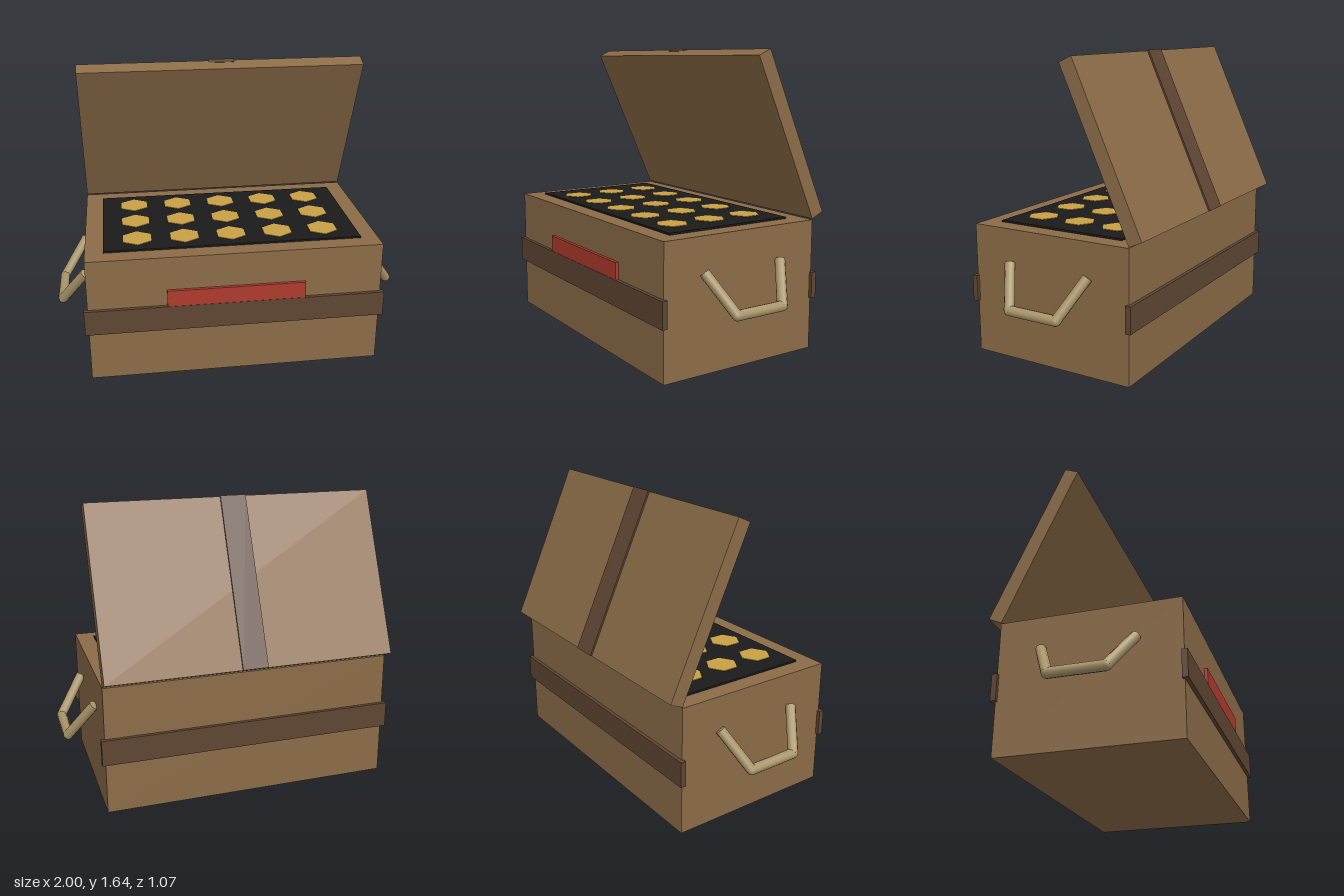
import * as THREE from 'three';

const paint = (color, extra = {}) => new THREE.MeshStandardMaterial({ color, ...extra });
const WOOD = paint(0x8b6b47);
const BAND = paint(0x5f4633);
const RED = paint(0xb03a2e);
const BLACK = paint(0x1a1a1a);
const GOLD = paint(0xc9a045);
const ROPE = paint(0xab966b);

const MID_Z = 0.0325;

// Box given by its minimum and maximum corners
function block(name, material, [x0, y0, z0], [x1, y1, z1]) {
  const mesh = new THREE.Mesh(new THREE.BoxGeometry(x1 - x0, y1 - y0, z1 - z0), material);
  mesh.position.set((x0 + x1) / 2, (y0 + y1) / 2, (z0 + z1) / 2);
  mesh.name = name;
  return mesh;
}

// Round bar between two points
function bar(a, b, radius) {
  const dir = b.clone().sub(a);
  const mesh = new THREE.Mesh(new THREE.CylinderGeometry(radius, radius, dir.length(), 10), ROPE);
  mesh.position.copy(a).add(b).multiplyScalar(0.5);
  mesh.quaternion.setFromUnitVectors(new THREE.Vector3(0, 1, 0), dir.normalize());
  mesh.name = 'handleBar';
  return mesh;
}

// Drooping three-part carrying handle
function handle(side) {
  const group = new THREE.Group();
  group.name = side > 0 ? 'leftHandle' : 'rightHandle';
  const radius = 0.028;
  const points = [
    [0.83, 0.54, 0.247], [0.97, 0.338, 0.147], [0.97, 0.338, -0.147], [0.83, 0.54, -0.247],
  ].map(([x, y, z]) => new THREE.Vector3(side * x, y, z + MID_Z));
  for (let i = 0; i < 3; i++) group.add(bar(points[i], points[i + 1], radius));
  for (const p of [points[1], points[2]]) {
    const joint = new THREE.Mesh(new THREE.SphereGeometry(radius, 10, 8), ROPE);
    joint.position.copy(p);
    joint.name = 'handleJoint';
    group.add(joint);
  }
  return group;
}

export function createModel() {
  const model = new THREE.Group();
  model.name = 'chest';

  // Body, with a band across the front and the back
  model.add(block('body', WOOD, [-0.82, 0, -0.45], [0.82, 0.725, 0.515]));
  model.add(block('frontBand', BAND, [-0.84, 0.29, 0.505], [0.84, 0.435, 0.535]));
  model.add(block('backBand', BAND, [-0.84, 0.29, -0.47], [0.84, 0.435, -0.44]));
  model.add(block('frontLabel', RED, [-0.385, 0.4, 0.505], [0.385, 0.53, 0.533]));

  // Dark tray with three rows of five hexagonal pieces
  model.add(block('tray', BLACK, [-0.72, 0.7, -0.35], [0.72, 0.735, 0.415]));
  const hexagon = new THREE.CylinderGeometry(0.09, 0.09, 0.02, 6).toNonIndexed();
  hexagon.computeVertexNormals();
  for (let row = -1; row <= 1; row++) {
    for (let col = -2; col <= 2; col++) {
      const piece = new THREE.Mesh(hexagon, GOLD);
      piece.position.set(col * 0.265, 0.728, MID_Z + row * 0.24);
      piece.name = 'hexPiece';
      model.add(piece);
    }
  }

  // Open lid, pivoting on its lower front edge, with a strap down its back
  const lid = new THREE.Group();
  lid.name = 'lid';
  lid.add(block('lidPanel', WOOD, [-0.82, 0, -0.08], [0.82, 0.96, 0]));
  lid.add(block('lidStrap', BAND, [-0.0725, 0, -0.09], [0.0725, 0.962, -0.06]));
  lid.position.set(0, 0.73, -0.45);
  lid.rotation.x = THREE.MathUtils.degToRad(24.3);
  model.add(lid);

  // Handles on both ends
  for (const side of [1, -1]) model.add(handle(side));

  return model;
}
